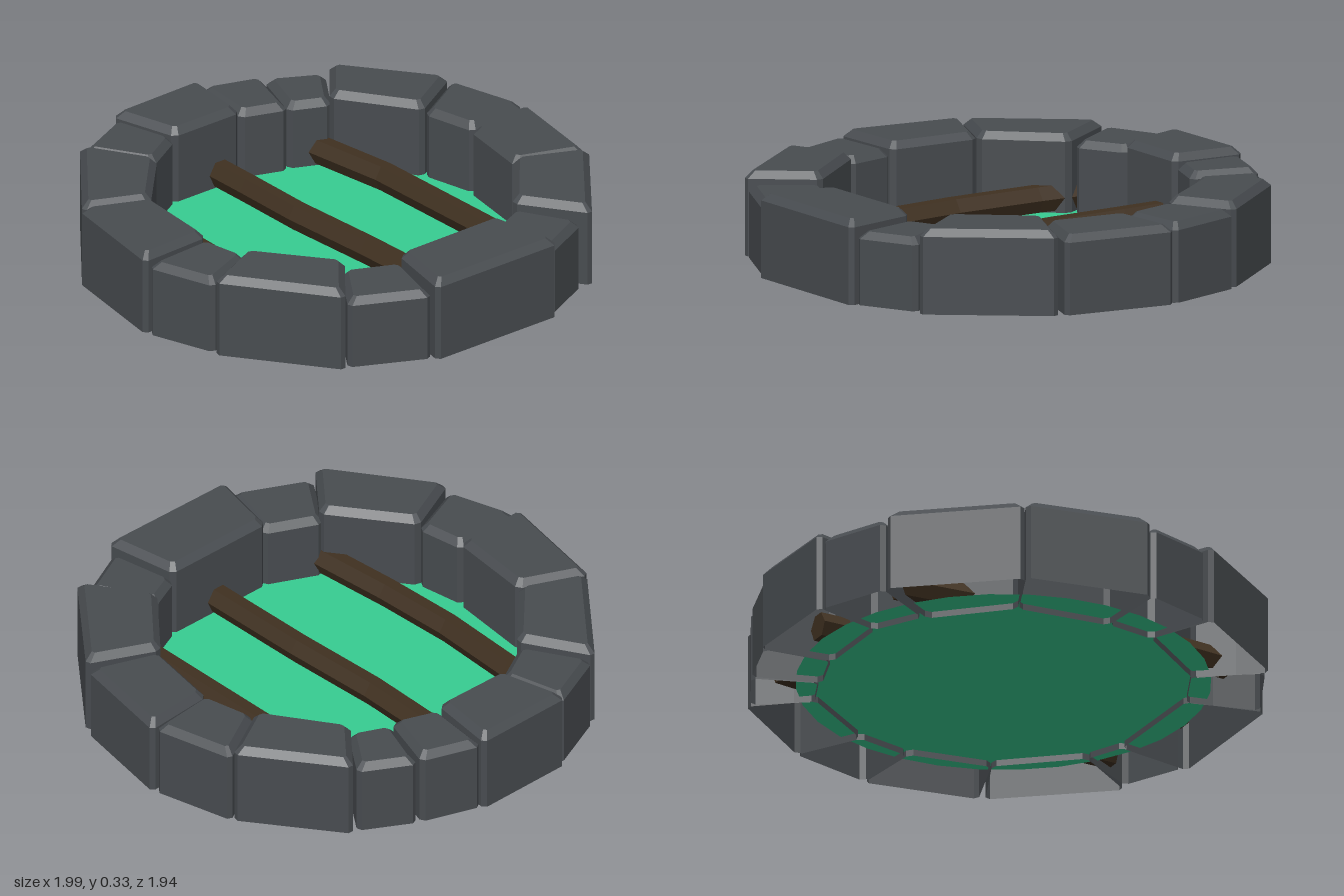
import * as THREE from 'three';

const flat = (name, color, extra = {}) => {
  const m = new THREE.MeshStandardMaterial({ color, flatShading: true, ...extra });
  m.name = name;
  return m;
};

// Skin between rings of points, counter-clockwise seen from the last ring
function loft(rings, capStart, capEnd) {
  const n = rings[0].length, pos = [];
  const tri = (a, b, c) => pos.push(...a, ...b, ...c);
  for (let r = 0; r + 1 < rings.length; r++) {
    const a = rings[r], b = rings[r + 1];
    for (let i = 0; i < n; i++) {
      const j = (i + 1) % n;
      tri(a[i], a[j], b[j]);
      tri(a[i], b[j], b[i]);
    }
  }
  const first = rings[0], last = rings[rings.length - 1];
  for (let i = 1; i + 1 < n; i++) {
    if (capStart) tri(first[0], first[i + 1], first[i]);
    if (capEnd) tri(last[0], last[i], last[i + 1]);
  }
  const g = new THREE.BufferGeometry();
  g.setAttribute('position', new THREE.Float32BufferAttribute(pos, 3));
  g.computeVertexNormals();
  return g;
}

const unit = (a, b) => {
  const d = Math.hypot(b[0] - a[0], b[1] - a[1]);
  return [(b[0] - a[0]) / d, (b[1] - a[1]) / d];
};

// Shrink a convex outline by moving each edge inwards
function inset(poly, d) {
  const n = poly.length;
  return poly.map((p, i) => {
    const u = unit(p, poly[(i + 1) % n]), v = unit(p, poly[(i + n - 1) % n]);
    const s = d / Math.abs(u[0] * v[1] - u[1] * v[0]);
    return [p[0] + s * (u[0] + v[0]), p[1] + s * (u[1] + v[1])];
  });
}

// Cut each corner of an outline and lift it to height y
function cutRing(poly, cut, y) {
  const n = poly.length;
  return poly.flatMap((p, i) => [poly[(i + n - 1) % n], poly[(i + 1) % n]].map((q) => {
    const u = unit(p, q);
    return [p[0] + u[0] * cut, y, p[1] + u[1] * cut];
  }));
}

// Stone: height, then outer start, outer end, inner end, inner start as x, z
const STONES = [
  [0.33, -0.28, -0.965, 0.15, -0.975, 0.11, -0.68, -0.21, -0.68],
  [0.305, 0.15, -0.96, 0.385, -0.88, 0.30, -0.62, 0.12, -0.685],
  [0.295, 0.40, -0.875, 0.605, -0.76, 0.465, -0.56, 0.31, -0.63],
  [0.33, 0.63, -0.765, 0.905, -0.39, 0.66, -0.25, 0.455, -0.56],
  [0.31, 0.91, -0.385, 0.99, -0.05, 0.71, -0.02, 0.665, -0.245],
  [0.31, 1.0, -0.04, 0.915, 0.41, 0.64, 0.31, 0.70, -0.015],
  [0.33, 0.905, 0.435, 0.57, 0.85, 0.395, 0.59, 0.635, 0.31],
  [0.285, 0.53, 0.83, 0.295, 0.945, 0.245, 0.66, 0.40, 0.59],
  [0.33, 0.30, 0.97, -0.30, 0.97, -0.23, 0.665, 0.25, 0.66],
  [0.285, -0.305, 0.945, -0.60, 0.80, -0.44, 0.57, -0.225, 0.67],
  [0.33, -0.62, 0.81, -0.915, 0.39, -0.66, 0.27, -0.43, 0.58],
  [0.305, -0.905, 0.37, -0.99, 0.09, -0.69, 0.07, -0.66, 0.27],
  [0.33, -1.0, 0.08, -0.905, -0.415, -0.645, -0.30, -0.685, 0.065],
  [0.33, -0.895, -0.415, -0.555, -0.83, -0.40, -0.56, -0.645, -0.305],
  [0.305, -0.54, -0.83, -0.275, -0.95, -0.21, -0.685, -0.395, -0.58],
];

// Beam centre lines as x, z
const BEAMS = [
  [[-0.45, -0.72], [-0.475, -0.45], [-0.495, -0.08], [-0.485, 0.25], [-0.45, 0.72]],
  [[0.018, -0.8], [0.012, -0.5], [0.002, -0.2], [0.015, 0.2], [0.016, 0.8]],
  [[0.42, -0.74], [0.445, -0.52], [0.475, -0.25], [0.472, 0.2], [0.468, 0.74]],
];
const BEAM_SECTION = [
  [0.03, -0.045], [0.053, 0.005], [0.022, 0.052], [-0.025, 0.052], [-0.053, 0.005], [-0.03, -0.045],
];

export function createModel() {
  const group = new THREE.Group();
  group.name = 'stonePool';
  const stoneMat = flat('dark stone', 0x484c50, { side: THREE.DoubleSide });
  const liquidMat = flat('green liquid', 0x37cd91, { side: THREE.DoubleSide });
  const woodMat = flat('dark wood', 0x3f3020);
  const add = (parent, name, geo, mat) => {
    const m = new THREE.Mesh(geo, mat);
    m.name = name;
    parent.add(m);
    return m;
  };

  // Ring of bevelled stone blocks, open underneath
  const ring = new THREE.Group();
  ring.name = 'stoneRing';
  group.add(ring);
  for (const [h, ...c] of STONES) {
    const quad = [3, 2, 1, 0].map((i) => [c[2 * i], c[2 * i + 1]]);
    const rings = [
      cutRing(quad, 0.018, 0),
      cutRing(quad, 0.018, h - 0.028),
      cutRing(inset(quad, 0.025), 0.012, h),
    ];
    add(ring, 'stoneBlock', loft(rings, false, true), stoneMat);
  }

  // Liquid surface
  const liquid = add(group, 'liquidSurface', new THREE.CircleGeometry(0.79, 32), liquidMat);
  liquid.rotation.x = -Math.PI / 2;
  liquid.position.y = 0.025;

  // Slightly bent wooden beams
  for (const path of BEAMS) {
    const rings = path.map(([x, z]) => BEAM_SECTION.map(([dx, dy]) => [x + dx, 0.078 + dy, z]));
    add(group, 'woodenBeam', loft(rings, true, true), woodMat);
  }
  return group;
}
